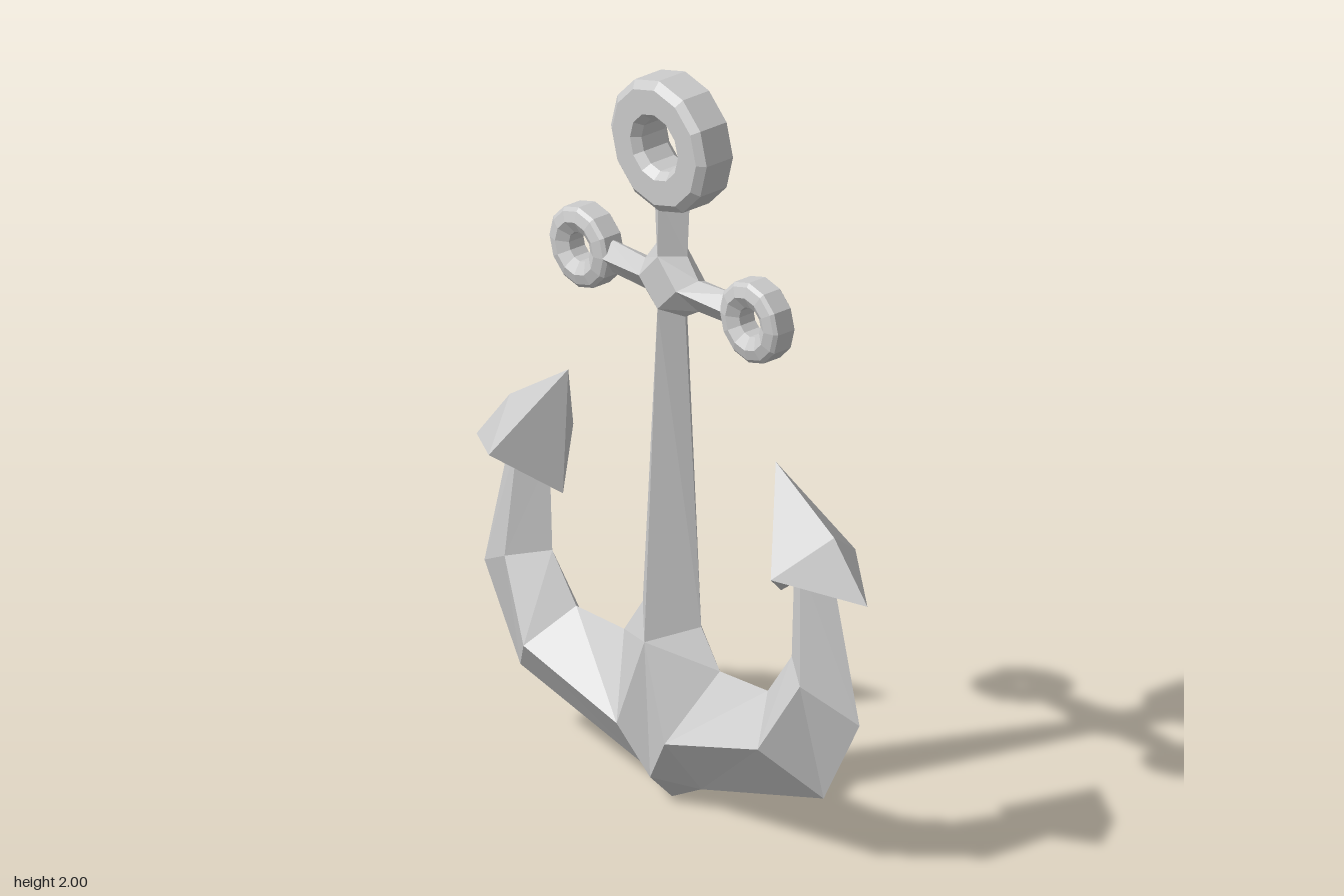
import * as THREE from 'three';

const material = new THREE.MeshStandardMaterial({ color: 0xcccccc, flatShading: true });

// Mesh from triangles of one quarter (x > 0, z > 0), mirrored front/back and,
// for each listed side, left/right. Mirroring once flips the winding.
function mirrored(name, tris, sides = [1, -1]) {
  const pos = [];
  for (const sx of sides) for (const sz of [1, -1])
    for (const [a, b, c] of tris)
      for (const p of sx * sz > 0 ? [a, b, c] : [a, c, b])
        pos.push(p[0] * sx, p[1], p[2] * sz);
  const geo = new THREE.BufferGeometry();
  geo.setAttribute('position', new THREE.Float32BufferAttribute(pos, 3));
  geo.computeVertexNormals();
  const mesh = new THREE.Mesh(geo, material);
  mesh.name = name;
  return mesh;
}

// Triangles joining successive rows of points
function skin(rows) {
  const tris = [];
  for (let i = 0; i + 1 < rows.length; i++)
    for (let j = 0; j + 1 < rows[i].length; j++) {
      const a = rows[i][j], b = rows[i + 1][j], c = rows[i + 1][j + 1], d = rows[i][j + 1];
      tris.push([a, b, c], [a, c, d]);
    }
  return tris;
}

// Faceted ring facing z: outer, bevel and hole radii with their half depths
function ring(name, x, y, [r0, z0], [r1, z1], [r2, z2], [r3, z3]) {
  const profile = [[r0, -z0], [r0, z0], [r1, z1], [r2, z2], [r3, z3],
    [r3, -z3], [r2, -z2], [r1, -z1], [r0, -z0]].map(p => new THREE.Vector2(...p));
  const geo = new THREE.LatheGeometry(profile, 12).rotateX(Math.PI / 2);
  const mesh = new THREE.Mesh(geo, material);
  mesh.name = name;
  mesh.position.set(x, y, 0);
  return mesh;
}

export function createModel() {
  const group = new THREE.Group();

  // Shared corner points of the hub
  const hubTop = [0, 1.515, 0.05], hubBottom = [0, 1.37, 0.05], hubSide = [0.07, 1.44, 0.05];
  const neck = [0.058, 1.52, 0], barTop = [0.1, 1.465, 0];
  const shoulder = [0.05, 1.35, 0], barBottom = [0.1, 1.38, 0];

  // Shared corner points of the crown, where the arms meet the shank
  const ridge = [0, 0.46, 0.095], shankFoot = [0.11, 0.51, 0];
  const armIn = [0.18, 0.41, 0], armMid = [0.09, 0.21, 0.108], armOut = [0.11, 0.06, 0];
  const keel = [0, 0.08, 0.075], point = [0, 0.005, 0];

  // Diamond-section shank below and above the hub
  group.add(mirrored('shank', [
    ...skin([[shankFoot, ridge], [shoulder, hubBottom]]),
    ...skin([[neck, hubTop], [[0.067, 1.68, 0], [0, 1.68, 0.047]]]),
  ]));

  group.add(mirrored('hub', [
    [hubTop, hubBottom, hubSide],
    [hubTop, hubSide, barTop], [hubTop, barTop, neck],
    [hubBottom, shoulder, barBottom], [hubBottom, barBottom, hubSide],
  ]));

  group.add(mirrored('crown', [
    [ridge, armMid, armIn], [ridge, armIn, shankFoot], [ridge, keel, armMid],
    [armMid, keel, armOut], [keel, point, armOut],
  ]));

  for (const side of [1, -1]) {
    const label = side > 0 ? 'left' : 'right';

    group.add(mirrored(label + 'Crossbar', skin([
      [barBottom, hubSide, barTop],
      [[0.25, 1.385, 0], [0.25, 1.43, 0.035], [0.25, 1.475, 0]],
    ]), [side]));

    // Curved arm: outer edge, front ridge, inner edge
    group.add(mirrored(label + 'Arm', skin([
      [armOut, armMid, armIn],
      [[0.57, 0.185, 0], [0.44, 0.31, 0.108], [0.36, 0.415, 0]],
      [[0.705, 0.43, 0], [0.555, 0.51, 0.068], [0.45, 0.54, 0]],
      [[0.6, 0.83, 0], [0.53, 0.84, 0.045], [0.46, 0.8, 0]],
    ]), [side]));

    // Barbed fluke with a notched base
    const tip = [0.39, 1.06, 0], back = [0.61, 0.92, 0], outer = [0.735, 0.77, 0];
    const wing = [0.53, 0.82, 0.145], inner = [0.41, 0.71, 0], base = [0.53, 0.82, 0];
    group.add(mirrored(label + 'Fluke', [
      [tip, wing, back], [back, wing, outer], [tip, inner, wing],
      [wing, base, outer], [wing, inner, base],
    ], [side]));

    group.add(ring(label + 'Ring', side * 0.32, 1.43,
      [0.11, 0.028], [0.1, 0.036], [0.072, 0.044], [0.04, 0.025]));
  }

  group.add(ring('topRing', 0, 1.82, [0.18, 0.045], [0.158, 0.062], [0.09, 0.062], [0.071, 0.04]));
  return group;
}
